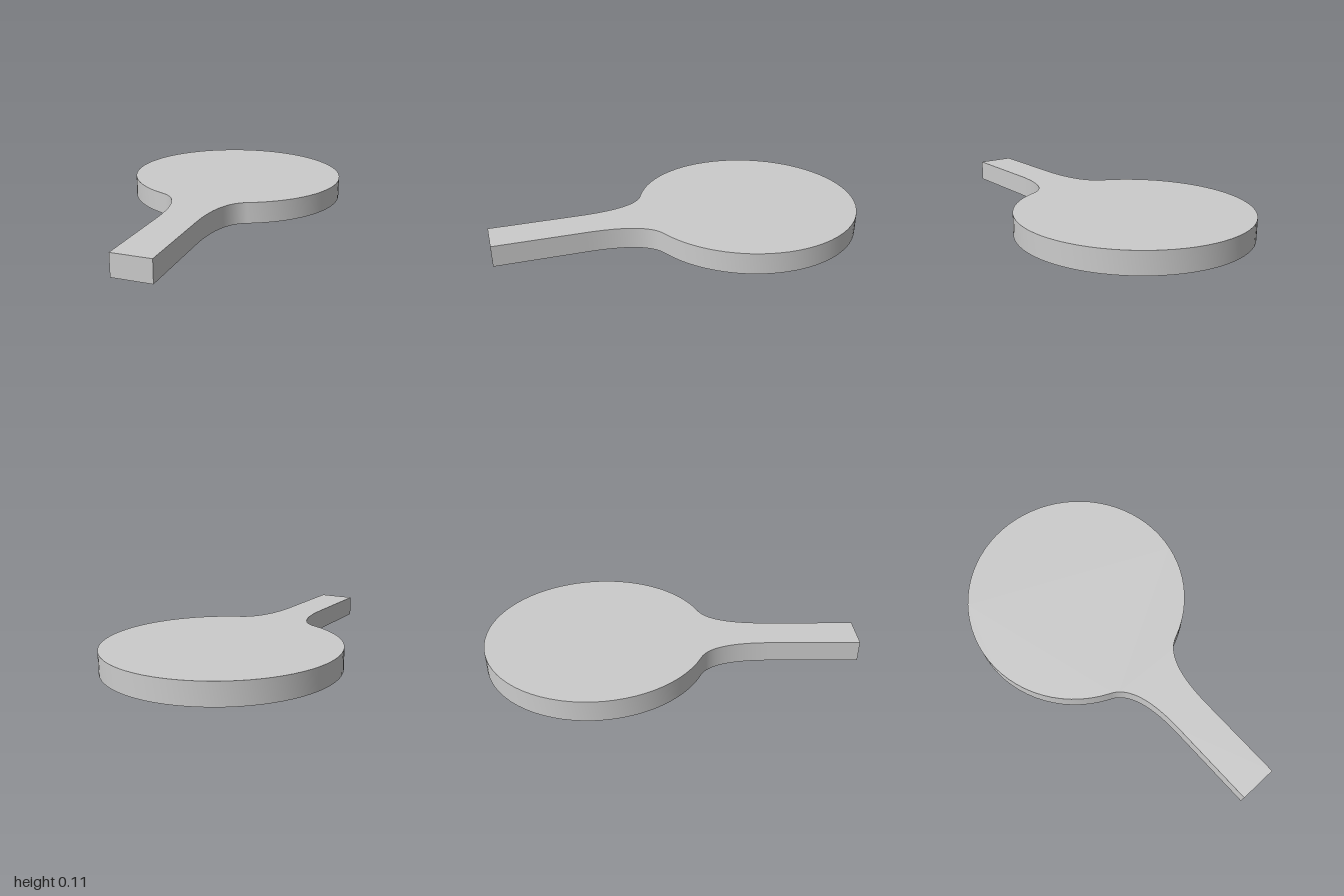
import * as THREE from 'three';
import { toCreasedNormals } from 'three/addons/utils/BufferGeometryUtils.js';

export function createModel() {
  const group = new THREE.Group();
  group.name = 'paddle';

  const thickness = 0.113;
  const radius = 0.6, centre = 0.4; // round blade
  const grip = 0.1;                 // half width of the handle
  const joinX = 0.24;               // where the neck meets the blade
  const joinY = centre - Math.sqrt(radius ** 2 - joinX ** 2);
  const angle = Math.atan2(joinY - centre, joinX);

  // Outline: handle, flared neck, round blade, mirrored neck
  const outline = new THREE.Shape();
  outline.moveTo(-grip, -1);
  outline.lineTo(grip, -1);
  outline.lineTo(grip, -0.53);
  outline.bezierCurveTo(grip, -0.33, 0.14, -0.19, joinX, joinY);
  outline.absarc(0, centre, radius, angle, Math.PI - angle, false);
  outline.bezierCurveTo(-0.14, -0.19, -grip, -0.33, -grip, -0.53);
  outline.closePath();

  // Lay the slab flat with the handle towards the front
  const slab = new THREE.ExtrudeGeometry(outline, {
    depth: thickness, bevelEnabled: false, curveSegments: 32,
  });
  slab.rotateX(-Math.PI / 2);

  const body = new THREE.Mesh(
    toCreasedNormals(slab, 0.6),
    new THREE.MeshStandardMaterial({ color: 0xcccccc }),
  );
  body.name = 'bladeAndHandle';
  group.add(body);
  return group;
}
